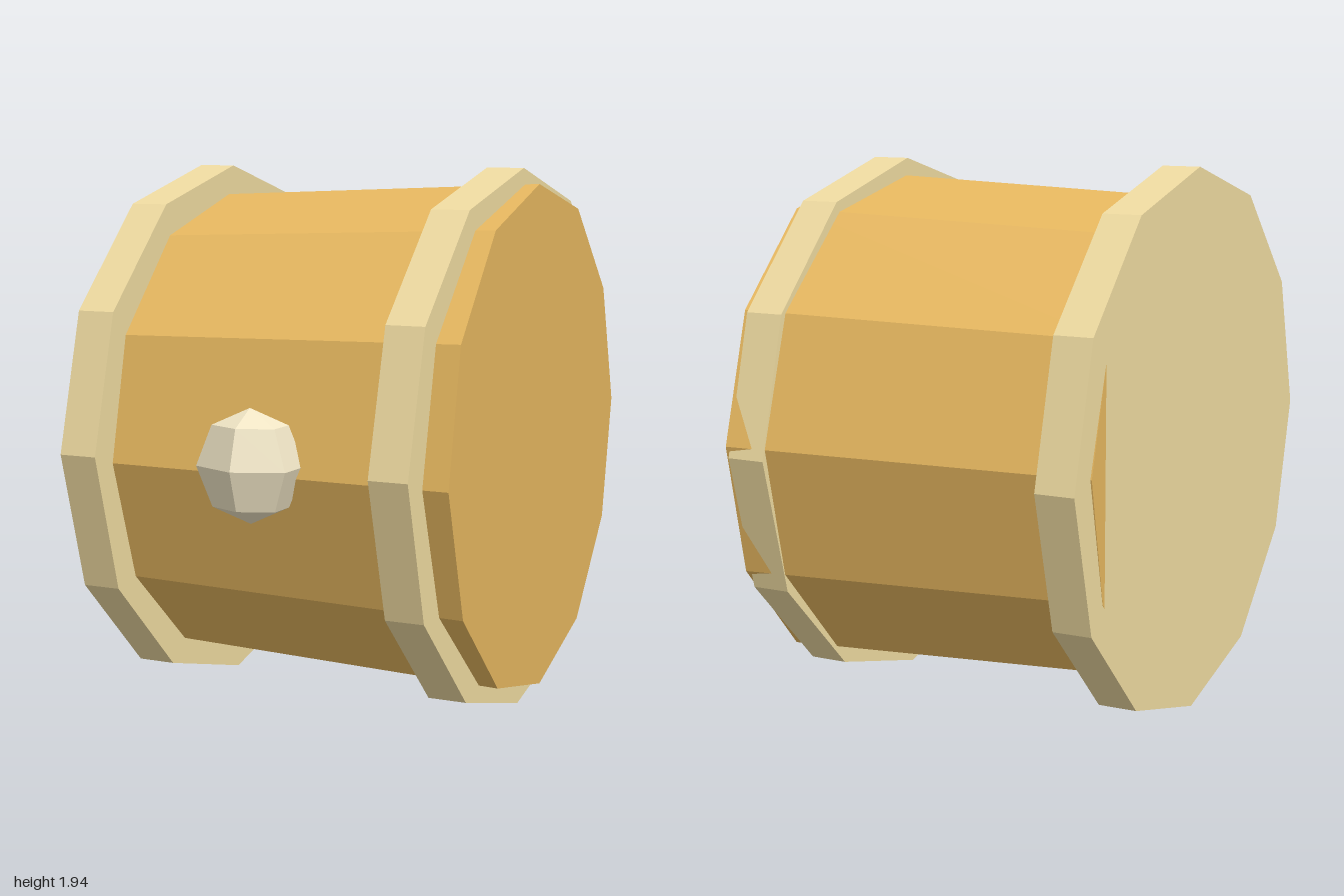
import * as THREE from 'three';

const material = (color) => new THREE.MeshStandardMaterial({ color, flatShading: true });

// Twelve-sided drum lying along x; the second radius is at the +x end
function drum(name, radiusLeft, radiusRight, length, mat) {
  const geometry = new THREE.CylinderGeometry(radiusRight, radiusLeft, length, 12);
  geometry.rotateZ(-Math.PI / 2);
  const mesh = new THREE.Mesh(geometry, mat);
  mesh.name = name;
  return mesh;
}

export function createModel() {
  const model = new THREE.Group();
  model.name = 'barrel';
  const wood = material(0xe6b75f);
  const trim = material(0xeedaa0);
  const midY = 0.975;

  // Tapered body, slightly rolled and yawed
  const body = drum('body', 0.86, 0.915, 1.33, wood);
  body.position.set(-0.003, midY, -0.056);
  body.rotation.set(0.042, 0.0437, 0, 'YXZ');
  model.add(body);

  // Wide hoops at both ends
  for (const [name, x] of [['leftHoop', 0.54], ['rightHoop', -0.63]]) {
    const hoop = drum(name, 0.97, 0.97, 0.14, trim);
    hoop.position.set(x, midY, -0.03);
    model.add(hoop);
  }

  // Faceted knob on the front
  const knobGeometry = new THREE.SphereGeometry(1, 6, 4);
  knobGeometry.rotateY(Math.PI / 6);
  knobGeometry.scale(0.193, 0.195, 0.14);
  const knob = new THREE.Mesh(knobGeometry, material(0xf1e6c6));
  knob.name = 'knob';
  knob.position.set(0, midY, 0.86);
  model.add(knob);

  return model;
}
